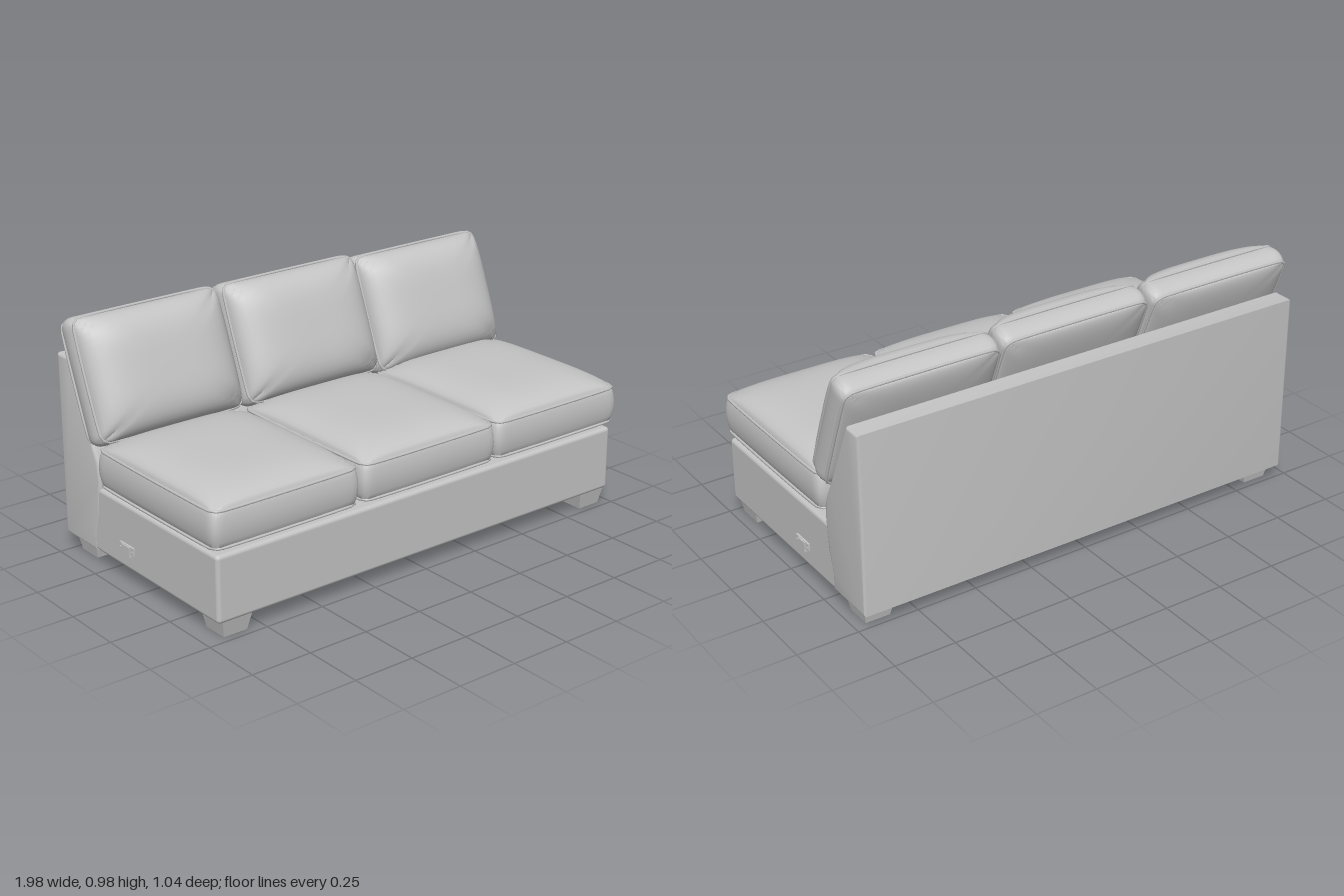
import * as THREE from 'three';
import { mergeVertices, toCreasedNormals } from 'three/addons/utils/BufferGeometryUtils.js';
import { RoundedBoxGeometry } from 'three/addons/geometries/RoundedBoxGeometry.js';

const fabric = new THREE.MeshStandardMaterial({ color: 0xc4c4c4 });
fabric.name = 'grey fabric';

function part(name, geometry, x = 0, y = 0, z = 0) {
  const mesh = new THREE.Mesh(geometry, fabric);
  mesh.name = name;
  mesh.position.set(x, y, z);
  return mesh;
}

// Moves a point of a rectangle so that the rectangle gets round corners
function roundCorner(x, z, hw, hd, r) {
  const s = Math.max(Math.abs(x) / hw, Math.abs(z) / hd);
  if (s < 1e-6) return [x, z];
  const px = x / s, pz = z / s;
  const cx = THREE.MathUtils.clamp(px, r - hw, hw - r);
  const cz = THREE.MathUtils.clamp(pz, r - hd, hd - r);
  const len = Math.hypot(px - cx, pz - cz);
  const k = len > r ? r / len : 1;
  return [(cx + (px - cx) * k) * s, (cz + (pz - cz) * k) * s];
}

// Boxed cushion: upright band between two seams, crowned faces, piping on the seams
function makeCushion(name, { width, depth, band, crownTop, crownBottom }) {
  const group = new THREE.Group();
  group.name = name;
  const hw = width / 2, hd = depth / 2, r = 0.035;
  const raw = new THREE.BoxGeometry(2, 2, 2, 24, 6, 24);
  raw.deleteAttribute('normal');
  raw.deleteAttribute('uv');
  const geo = mergeVertices(raw);
  const p = geo.attributes.position;
  for (let i = 0; i < p.count; i++) {
    // Points are gathered towards the edges
    const u = Math.sin(p.getX(i) * Math.PI / 2);
    const w = Math.sin(p.getZ(i) * Math.PI / 2);
    const v = p.getY(i);
    const [x, z] = roundCorner(u * hw, w * hd, hw, hd, r);
    const fill = Math.pow(Math.max(0, (1 - u ** 4) * (1 - w ** 4)), 0.55);
    const crown = v > 0.999 ? crownTop * fill : v < -0.999 ? -crownBottom * fill : 0;
    const bulge = 0.01 * (1 - v * v);
    p.setXYZ(i, x * (1 + bulge / hw), v * band / 2 + crown, z * (1 + bulge / hd));
  }
  group.add(part('cushionBody', toCreasedNormals(geo, 0.75)));

  const path = [];
  for (let c = 0; c < 4; c++) {
    const sx = c === 0 || c === 3 ? 1 : -1, sz = c < 2 ? 1 : -1;
    for (let k = 0; k <= 4; k++) {
      const a = (c + k / 4) * Math.PI / 2;
      path.push(new THREE.Vector3(
        sx * (hw - r) + r * Math.cos(a), 0, sz * (hd - r) + r * Math.sin(a)));
    }
  }
  const curve = new THREE.CatmullRomCurve3(path, true, 'centripetal');
  const piping = new THREE.TubeGeometry(curve, 96, 0.006, 6, true);
  for (const side of [1, -1]) group.add(part('piping', piping, 0, side * band / 2, 0));
  return group;
}

export function createModel() {
  const model = new THREE.Group();
  model.name = 'armlessSofa';
  const midX = 0.014;

  // Seat base
  model.add(part('seatBase', new RoundedBoxGeometry(1.936, 0.265, 0.82, 3, 0.016), midX, 0.1975, 0.08));

  // Sloped back frame, profile drawn as (z, y)
  const b = 0.012;
  const profile = new THREE.Shape([
    [-0.508, 0.077], [-0.31, 0.077], [-0.31, 0.14], [-0.284, 0.23], [-0.272, 0.36],
    [-0.28, 0.43], [-0.305, 0.48], [-0.445, 0.788], [-0.508, 0.788],
  ].map(([z, y]) => new THREE.Vector2(z, y)));
  const backGeo = new THREE.ExtrudeGeometry(profile, {
    depth: 1.94 - 2 * b, bevelEnabled: true, bevelSize: b, bevelThickness: b, bevelSegments: 3,
  });
  backGeo.translate(0, 0, -(0.97 - b));
  backGeo.rotateY(-Math.PI / 2);
  model.add(part('backFrame', toCreasedNormals(backGeo, 0.6), midX));

  // Seat and back cushions
  const columns = [
    { x: -0.655, drop: 0, shift: -0.008 },
    { x: 0.01, drop: 0, shift: 0 },
    { x: 0.664, drop: 0.015, shift: 0.004 },
  ];
  for (const { x, drop, shift } of columns) {
    const seat = makeCushion('seatCushion', {
      width: 0.636, depth: 0.735, band: 0.14, crownTop: 0.064, crownBottom: 0.034,
    });
    seat.position.set(x, 0.436, 0.138);
    model.add(seat);

    const back = makeCushion('backCushion', {
      width: 0.636, depth: 0.47, band: 0.09, crownTop: 0.095, crownBottom: 0.03,
    });
    back.position.set(x, 0.737 - drop, -0.318 + shift);
    back.rotation.x = 1.19;
    model.add(back);
  }

  // Tapered feet
  const footGeo = new THREE.CylinderGeometry(Math.SQRT1_2, Math.SQRT1_2 * 0.78, 1, 4).toNonIndexed();
  footGeo.rotateY(Math.PI / 4);
  footGeo.scale(0.13, 0.072, 0.135);
  footGeo.computeVertexNormals();
  for (const x of [-0.867, 0.9]) {
    model.add(part('frontFoot', footGeo, x, 0.036, 0.416));
    model.add(part('backFoot', footGeo, x, 0.036, -0.415));
  }

  // Connector brackets on both ends of the base
  for (const side of [1, -1]) {
    const bracket = new THREE.Group();
    bracket.name = 'connectorBracket';
    bracket.position.set(midX + side * 0.97, 0.15, -0.083);
    bracket.add(part('bracketPlate', new THREE.BoxGeometry(0.012, 0.03, 0.092), 0, 0.005, 0));
    bracket.add(part('bracketTab', new THREE.BoxGeometry(0.022, 0.042, 0.05), 0, -0.003, 0));
    for (const z of [-0.037, 0.037]) {
      const screw = new THREE.CylinderGeometry(0.006, 0.006, 0.018, 10);
      screw.rotateZ(Math.PI / 2);
      bracket.add(part('screw', screw, 0, 0, z));
    }
    model.add(bracket);
  }
  return model;
}
